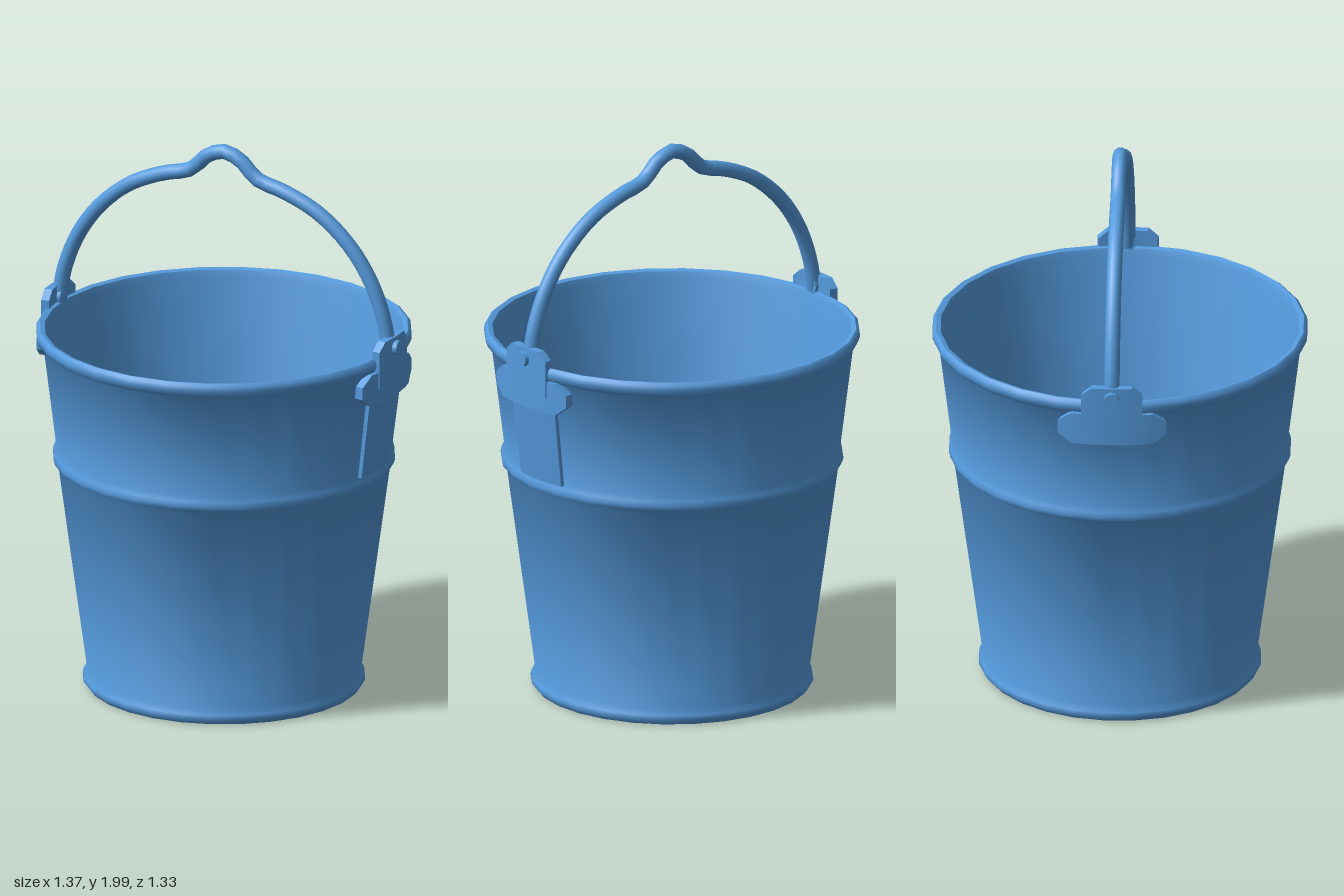
import * as THREE from 'three';
import { toCreasedNormals } from 'three/addons/utils/BufferGeometryUtils.js';

const bluePlastic = new THREE.MeshStandardMaterial({ color: 0x559bde });
bluePlastic.name = 'bluePlastic';

function addPart(parent, name, geometry) {
  const mesh = new THREE.Mesh(geometry, bluePlastic);
  mesh.name = name;
  parent.add(mesh);
  return mesh;
}

// Plate bent around the pail on the +x side, with its end corners cut off.
// radiusAt(y) gives the radius of the middle of the plate.
function bentPlate(width, bottom, top, depth, radiusAt, cutBottom, cutTop, columns = 8) {
  const geometry = new THREE.BoxGeometry(width, top - bottom, depth, columns, 1, 1);
  const pos = geometry.attributes.position;
  const middle = (top + bottom) / 2;
  for (let i = 0; i < pos.count; i++) {
    const u = pos.getX(i);
    const v = pos.getY(i);
    let y = v + middle;
    if (Math.abs(u) > width / 2 - 0.001) y += v > 0 ? -cutTop : cutBottom;
    const r = radiusAt(y) + pos.getZ(i);
    const angle = u / 0.65;
    pos.setXYZ(i, r * Math.cos(angle), y, -r * Math.sin(angle));
  }
  return toCreasedNormals(geometry, 0.6);
}

export function createModel() {
  const model = new THREE.Group();
  model.name = 'bucket';

  // Hollow body: base lip, middle bead, rolled rim, inner wall and floor
  const profile = [
    [0, 0.005], [0.485, 0.005], [0.5, 0.025], [0.497, 0.04], [0.485, 0.06],
    [0.588, 0.82], [0.602, 0.835], [0.606, 0.85], [0.602, 0.868], [0.594, 0.885],
    [0.641, 1.265], [0.657, 1.28], [0.665, 1.3], [0.663, 1.318], [0.652, 1.327],
    [0.635, 1.322], [0.628, 1.3], [0.44, 0.04], [0, 0.04],
  ].map(([r, y]) => new THREE.Vector2(r, y));
  addPart(model, 'pailBody', toCreasedNormals(new THREE.LatheGeometry(profile, 28), 0.95));

  // Handle and its mounts are turned slightly about the vertical axis
  const fittings = new THREE.Group();
  fittings.name = 'handleAssembly';
  fittings.rotation.y = -0.145;
  model.add(fittings);

  // Bail handle with a raised notch in the middle
  const half = [
    [0.65, 1.33], [0.627, 1.45], [0.575, 1.58], [0.49, 1.7],
    [0.37, 1.8], [0.24, 1.858], [0.13, 1.89], [0.065, 1.95],
  ];
  const path = [
    ...half.map(([x, y]) => new THREE.Vector3(-x, y, 0)),
    new THREE.Vector3(0, 1.974, 0),
    ...half.slice().reverse().map(([x, y]) => new THREE.Vector3(x, y, 0)),
  ];
  const curve = new THREE.CatmullRomCurve3(path);
  addPart(model.getObjectByName('handleAssembly'), 'handle',
    new THREE.TubeGeometry(curve, 48, 0.027, 10));

  // One ear on each side: wide lower bar, upper tab and a pivot pin
  for (const side of [0, 1]) {
    const ear = new THREE.Group();
    ear.name = side ? 'rightEar' : 'leftEar';
    ear.rotation.y = side * Math.PI;
    fittings.add(ear);
    addPart(ear, 'earBar', bentPlate(0.38, 1.165, 1.28, 0.04, () => 0.65, 0.035, 0.035));
    addPart(ear, 'earTab', bentPlate(0.21, 1.22, 1.385, 0.03, () => 0.66, 0, 0.03, 6));
    const pin = addPart(ear, 'pivotPin', new THREE.CylinderGeometry(0.026, 0.032, 0.06, 12));
    pin.rotation.z = -Math.PI / 2;
    pin.position.set(0.66, 1.345, 0);
  }

  // Curved panel under the left ear, lying on the wall
  const wallRadius = (y) => 0.594 + (y - 0.885) * 0.124 + 0.006;
  addPart(fittings.getObjectByName('leftEar'), 'wallPanel',
    bentPlate(0.24, 0.88, 1.19, 0.016, wallRadius, 0, 0));

  return model;
}
